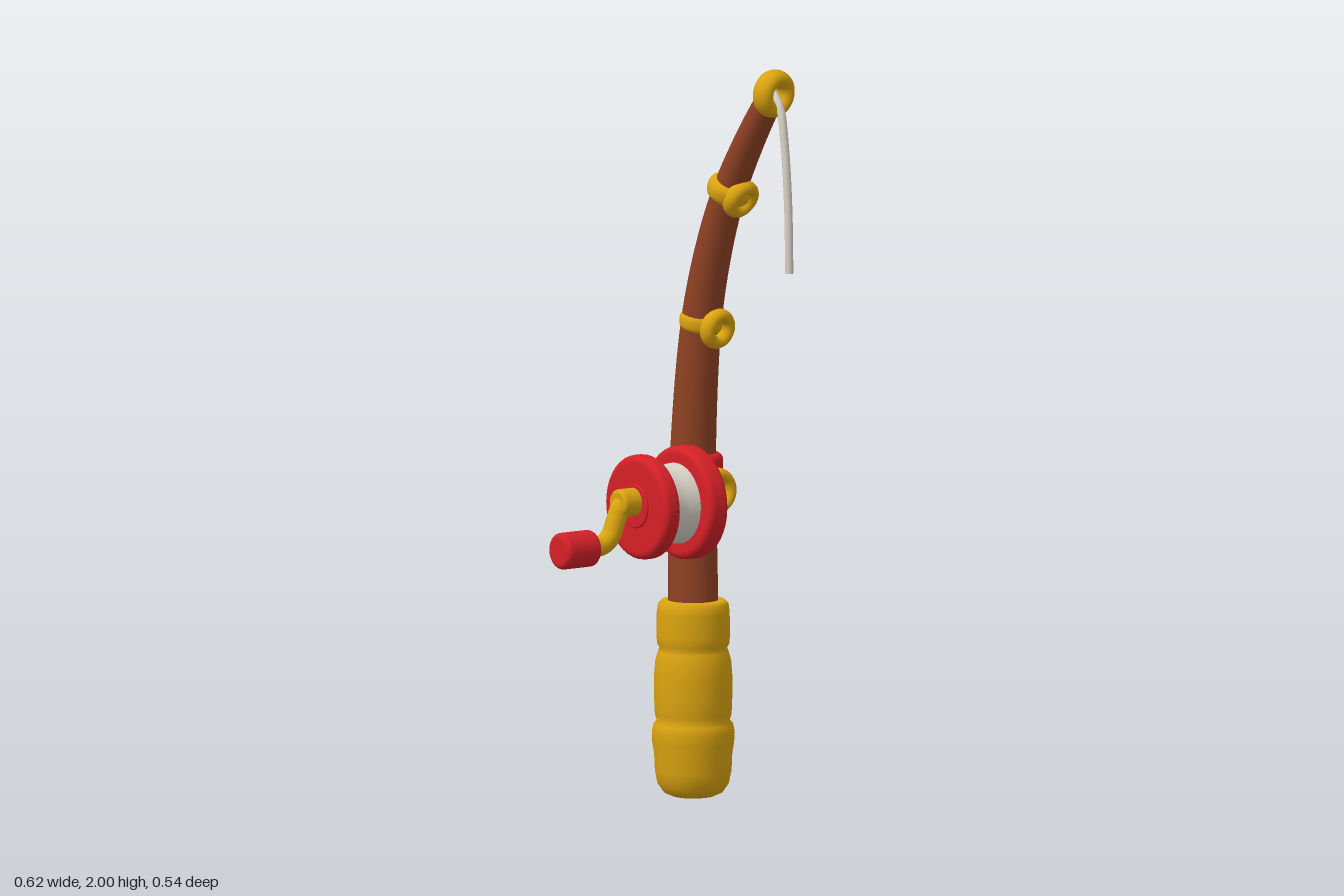
import * as THREE from 'three';

const material = (name, color, side = THREE.FrontSide) => {
  const m = new THREE.MeshStandardMaterial({ color, side });
  m.name = name;
  return m;
};

export function createModel() {
  const model = new THREE.Group();
  model.name = 'fishingRod';
  const yellow = material('golden yellow', 0xdaa30f);
  const red = material('red', 0xd42026);
  const brown = material('brown wood', 0x8f4224);
  const cream = material('pale line', 0xd9d2c7);
  const V = (x, y, z) => new THREE.Vector3(x, y, z);

  const add = (name, geometry, mat, position = V(0, 0, 0), parent = model) => {
    const mesh = new THREE.Mesh(geometry, mat);
    mesh.name = name;
    mesh.position.copy(position);
    parent.add(mesh);
    return mesh;
  };
  const lathe = (pts) => new THREE.LatheGeometry(pts.map(([r, y]) => new THREE.Vector2(r, y)), 40);

  // Solid drum along y, centred, with rounded rims
  const drum = (r, h, b) => {
    const pts = [[0, -h / 2], [(r - b) * 0.98, -h / 2]];
    for (const s of [-1, 1]) {
      for (let i = 0; i <= 5; i++) {
        const a = (s < 0 ? i - 5 : i) / 5 * Math.PI / 2;
        pts.push([r - b + b * Math.cos(a), s * (h / 2 - b) + b * Math.sin(a)]);
      }
    }
    pts.push([(r - b) * 0.98, h / 2], [0, h / 2]);
    return lathe(pts);
  };
  // Drum along x between two x values
  const drumX = (name, x0, x1, r, b, mat, y, z) =>
    add(name, drum(r, x1 - x0, b).rotateZ(-Math.PI / 2), mat, V((x0 + x1) / 2, y, z));

  // Ribbed grip
  add('grip', lathe([
    [0, 0.005], [0.055, 0.006], [0.078, 0.016], [0.095, 0.04], [0.102, 0.075], [0.104, 0.12],
    [0.109, 0.15], [0.11, 0.18], [0.106, 0.2], [0.097, 0.21], [0.102, 0.225], [0.104, 0.27],
    [0.104, 0.33], [0.101, 0.37], [0.094, 0.395], [0.09, 0.405], [0.096, 0.415], [0.098, 0.44],
    [0.097, 0.5], [0.094, 0.523], [0.084, 0.533], [0, 0.535],
  ]), yellow, V(0.195, 0, -0.158));

  // Curved, tapering rod
  const rodPath = new THREE.CatmullRomCurve3([
    V(0.195, 0.48, -0.158), V(0.195, 0.72, -0.16), V(0.195, 0.96, -0.157), V(0.196, 1.29, -0.122),
    V(0.198, 1.5, -0.066), V(0.199, 1.655, 0), V(0.2, 1.8, 0.088), V(0.2, 1.93, 0.182),
  ]);
  const steps = 48, sides = 24;
  const rodGeo = new THREE.TubeGeometry(rodPath, steps, 1, sides);
  const pos = rodGeo.attributes.position, p = V(0, 0, 0);
  for (let i = 0; i <= steps; i++) {
    const t = i / steps, c = rodPath.getPointAt(t);
    const r = 0.068 - 0.018 * t - 0.014 * t * t;
    for (let j = 0; j <= sides; j++) {
      const k = i * (sides + 1) + j;
      p.fromBufferAttribute(pos, k).sub(c).multiplyScalar(r).add(c);
      pos.setXYZ(k, p.x, p.y, p.z);
    }
  }
  add('rod', rodGeo, brown);
  const cap = add('rodTip', new THREE.CircleGeometry(0.036, sides), brown, rodPath.getPointAt(1));
  cap.quaternion.setFromUnitVectors(V(0, 0, 1), rodPath.getTangentAt(1));

  // Line guides: a band around the rod with an eye in front
  for (const [y, z, tilt, eyeY, eyeZ] of [[1.287, -0.122, 0.18, 1.272, -0.065], [1.655, 0, 0.47, 1.634, 0.038]]) {
    const guide = new THREE.Group();
    guide.name = 'lineGuide';
    model.add(guide);
    add('guideBand', drum(0.06, 0.056, 0.022), yellow, V(0.197, y, z), guide).rotation.x = tilt;
    const eye = add('guideEye', new THREE.TorusGeometry(0.037, 0.018, 14, 32), yellow, V(0.206, eyeY, eyeZ), guide);
    eye.rotation.set(tilt, 0.15, 0);
    eye.scale.z = 1.3;
  }

  // Tip ring and hanging line
  const tip = add('tipRing', new THREE.TorusGeometry(0.042, 0.023, 16, 36), yellow, V(0.2, 1.936, 0.193));
  tip.rotation.set(0.1, 0.18, 0);
  tip.scale.z = 1.35;
  const linePath = new THREE.CatmullRomCurve3([
    V(0.2, 1.94, 0.19), V(0.2, 1.9, 0.222), V(0.2, 1.8, 0.242), V(0.2, 1.64, 0.257), V(0.2, 1.46, 0.262),
  ]);
  add('line', new THREE.TubeGeometry(linePath, 28, 0.011, 10), cream);
  add('lineEnd', new THREE.CircleGeometry(0.011, 10).rotateX(Math.PI / 2), cream, V(0.2, 1.46, 0.262));

  // Reel seat around the rod with its ring
  add('reelSeat', drum(0.081, 0.175, 0.02), red, V(0.195, 0.842, -0.16));
  const ring = add('seatRing', new THREE.TorusGeometry(0.046, 0.017, 14, 36), yellow, V(0.2, 0.836, -0.066));
  ring.scale.z = 1.4;

  // Reel: two flanges, wound spool and hub
  const rz = -0.082, ry = 0.812;
  drumX('innerFlange', 0.083, 0.147, 0.152, 0.018, red, ry, rz);
  drumX('outerFlange', -0.055, -0.002, 0.14, 0.018, red, ry, rz);
  drumX('flangeHub', -0.06, -0.04, 0.06, 0.004, red, ry + 0.005, rz);
  add('spool', lathe([[0.108, -0.05], [0.108, -0.035], [0.105, -0.015], [0.104, 0], [0.105, 0.015], [0.108, 0.035],
    [0.108, 0.05]]).rotateZ(-Math.PI / 2), cream, V(0.04, ry, rz));

  // Crank arm and knob
  drumX('crankHub', -0.115, -0.05, 0.038, 0.01, yellow, 0.828, rz);
  const crankPath = new THREE.CatmullRomCurve3([
    V(-0.07, 0.828, rz), V(-0.1, 0.82, rz), V(-0.118, 0.785, rz), V(-0.137, 0.742, rz),
    V(-0.165, 0.721, rz), V(-0.215, 0.718, rz),
  ]);
  add('crankArm', new THREE.TubeGeometry(crankPath, 32, 0.027, 18), yellow);
  drumX('crankKnob', -0.31, -0.197, 0.049, 0.014, red, 0.717, rz);

  return model;
}
